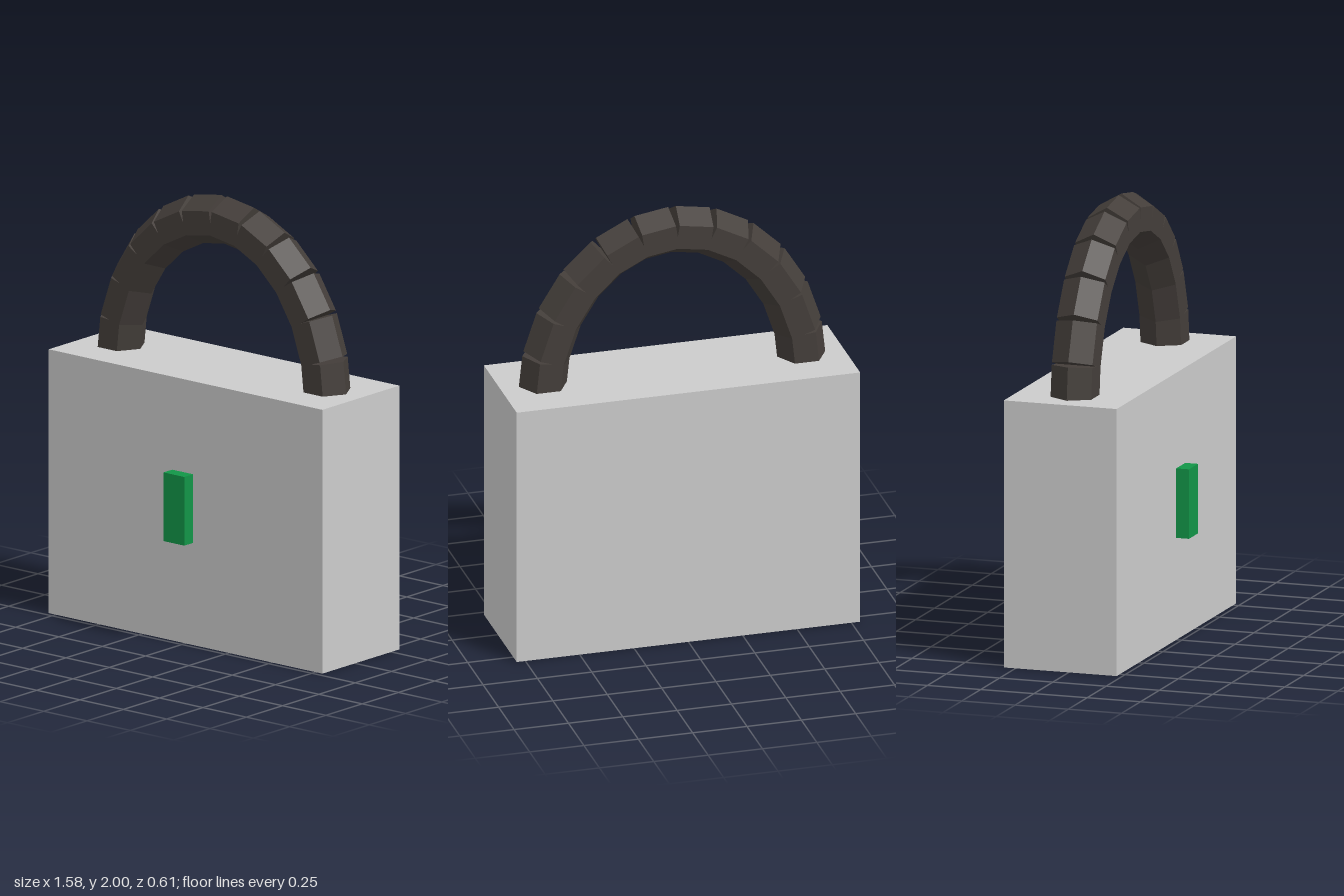
import * as THREE from 'three';

const material = (color) => new THREE.MeshStandardMaterial({ color, flatShading: true });

function box(name, size, position, mat) {
  const mesh = new THREE.Mesh(new THREE.BoxGeometry(...size), mat);
  mesh.name = name;
  mesh.position.set(...position);
  return mesh;
}

export function createModel() {
  const model = new THREE.Group();
  model.name = 'padlock';

  // Body block
  model.add(box('body', [1.58, 1.21, 0.53], [0, 0.605, -0.04], material(0xcccccc)));

  // Keyhole plate, floating just ahead of the front face
  model.add(box('keyhole', [0.12, 0.315, 0.06], [0, 0.633, 0.275], material(0x129547)));

  // Shackle: straight hexagonal links laid along the chords of a half ellipse,
  // leaving V-shaped notches on the outer side
  const shackle = new THREE.Group();
  shackle.name = 'shackle';
  shackle.position.set(0, 1.155, -0.04);
  const dark = material(0x443e3a);
  const links = 12;
  const arcPoint = (i) => {
    const a = (i / links) * Math.PI;
    return new THREE.Vector3(0.6 * Math.cos(a), 0.735 * Math.sin(a), 0);
  };
  for (let i = 0; i < links; i++) {
    const start = arcPoint(i);
    const chord = arcPoint(i + 1).sub(start);
    const geometry = new THREE.CylinderGeometry(0.11, 0.11, chord.length(), 6);
    geometry.rotateY(Math.PI / 2); // hexagon corners point in and out of the arc
    const link = new THREE.Mesh(geometry, dark);
    link.name = 'shackleLink';
    link.position.copy(start).addScaledVector(chord, 0.5);
    link.rotation.z = Math.atan2(-chord.x, chord.y);
    shackle.add(link);
  }
  model.add(shackle);

  return model;
}
